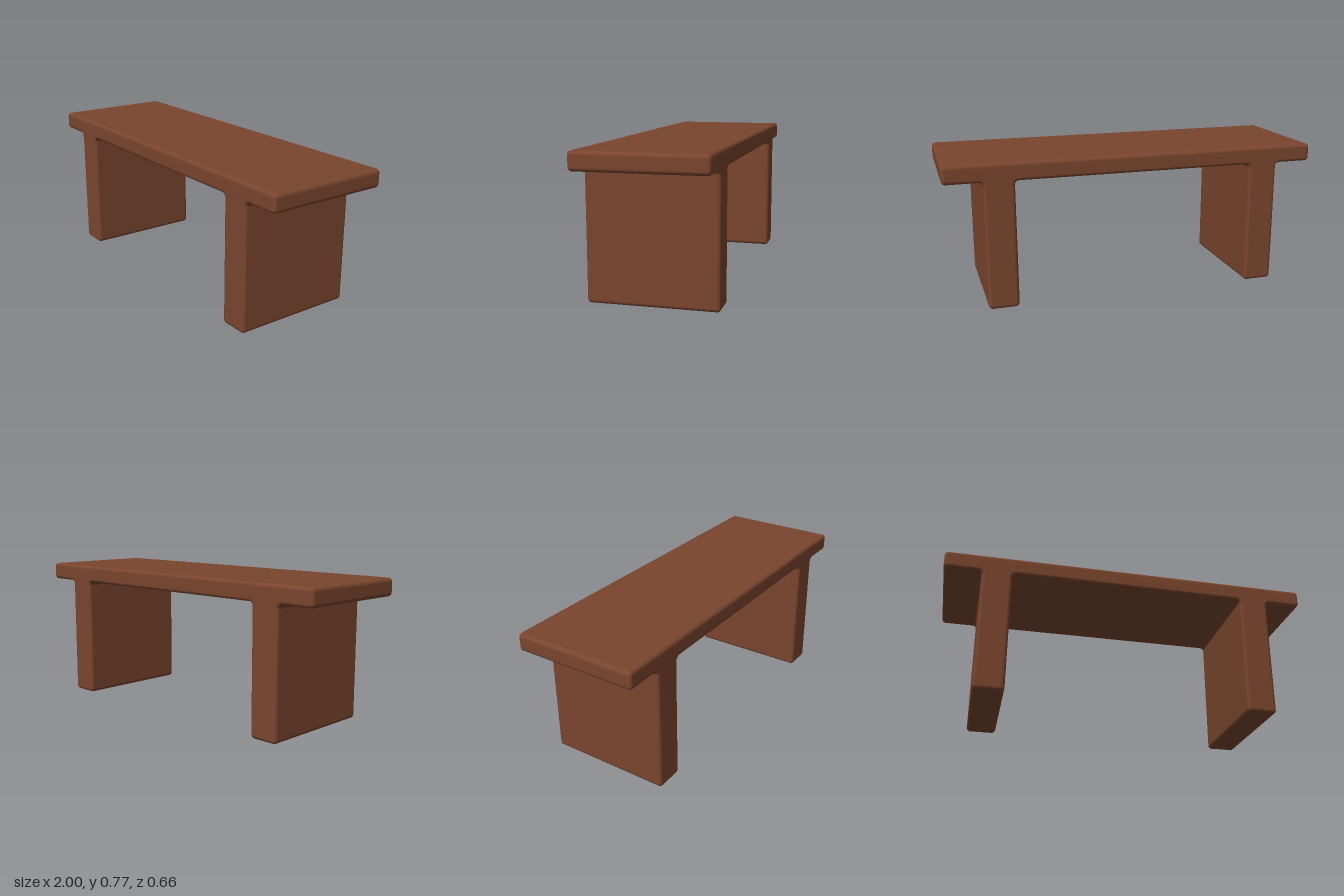
import * as THREE from 'three';
import { mergeVertices } from 'three/addons/utils/BufferGeometryUtils.js';

// Right-angled outline with every corner, convex or concave, rounded by r
function roundedOutline(points, r) {
  const shape = new THREE.Shape();
  const pts = points.map(([x, y]) => new THREE.Vector2(x, y));
  pts.forEach((p, i) => {
    const toPrev = pts.at(i - 1).clone().sub(p).normalize();
    const toNext = pts[(i + 1) % pts.length].clone().sub(p).normalize();
    const c = p.clone().addScaledVector(toPrev, r).addScaledVector(toNext, r);
    const start = Math.atan2(-toNext.y, -toNext.x);
    const end = Math.atan2(-toPrev.y, -toPrev.x);
    const clockwise = toNext.cross(toPrev) < 0;
    shape.absarc(c.x, c.y, r, start, end, clockwise);
  });
  return shape;
}

export function createModel() {
  const group = new THREE.Group();
  group.name = 'bench';
  const top = 0.767, under = 0.672, outer = 0.8, inner = 0.64, width = 0.664;

  // Seat slab and two slab legs as one continuous profile, counter-clockwise
  const right = [
    [inner, under], [inner, 0], [outer, 0], [outer, under], [1, under], [1, top],
  ];
  const left = right.map(([x, y]) => [-x, y]).reverse();
  const profile = roundedOutline([...right, ...left], 0.021);

  // Extrude across the bench, with softly rounded front and back edges
  const bevel = 0.018, depth = width - 2 * bevel;
  let geometry = new THREE.ExtrudeGeometry(profile, {
    depth, curveSegments: 6, bevelEnabled: true, bevelSegments: 5,
    bevelSize: bevel, bevelThickness: bevel, bevelOffset: -bevel,
  });
  geometry.translate(0, 0, -depth / 2);

  // Weld for smooth shading over the rounded edges
  geometry.deleteAttribute('uv');
  geometry.deleteAttribute('normal');
  geometry = mergeVertices(geometry, 1e-5);
  geometry.computeVertexNormals();

  const bench = new THREE.Mesh(geometry, new THREE.MeshStandardMaterial({ color: 0x7a452e }));
  bench.name = 'seatAndLegs';
  group.add(bench);
  return group;
}
